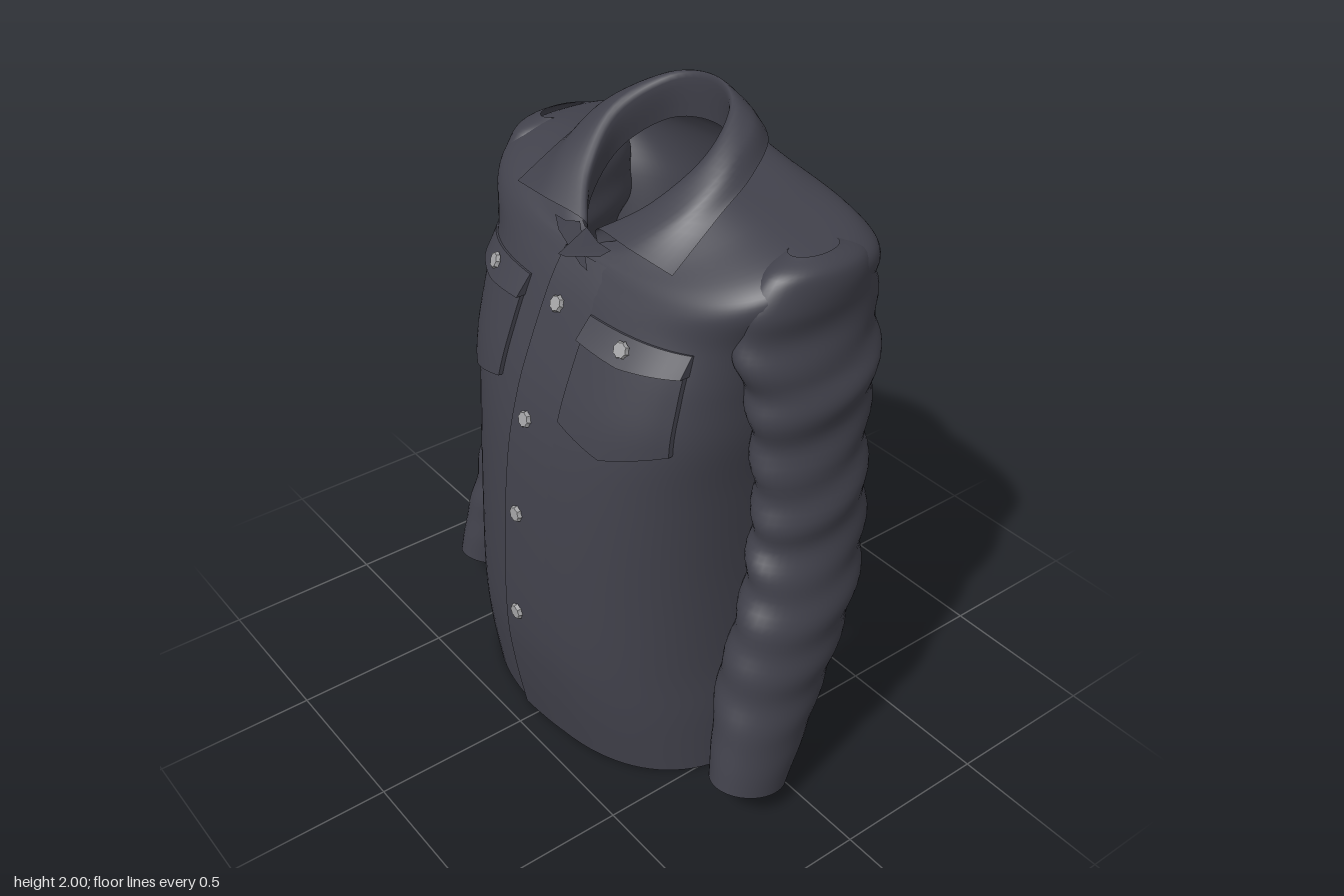
import * as THREE from 'three';
import { toCreasedNormals } from 'three/addons/utils/BufferGeometryUtils.js';

const cloth = new THREE.MeshStandardMaterial({ color: 0x41414b, side: THREE.DoubleSide });
cloth.name = 'charcoal cloth';
const metal = new THREE.MeshStandardMaterial({ color: 0xa3a3a5 });
metal.name = 'grey metal';

// Smooth interpolation through rows of numbers, t in 0..1
function sampleRows(rows, t) {
  const f = Math.min(Math.max(t, 0), 1) * (rows.length - 1);
  const i = Math.min(Math.floor(f), rows.length - 2), w = f - i;
  const r = (k) => rows[Math.min(Math.max(k, 0), rows.length - 1)];
  return rows[0].map((_, c) => {
    const a = r(i - 1)[c], b = r(i)[c], d = r(i + 1)[c], e = r(i + 2)[c];
    return b + 0.5 * w * (d - a + w * (2 * a - 5 * b + 4 * d - e + w * (3 * (b - d) + e - a)));
  });
}

// Surface from a rule fn(u, v) -> [x, y, z]; closed joins the ends of u
function grid(nu, nv, fn, closed = false) {
  const pos = [], idx = [], cols = closed ? nu : nu + 1;
  for (let j = 0; j <= nv; j++)
    for (let i = 0; i < cols; i++) pos.push(...fn(i / nu, j / nv));
  for (let j = 0; j < nv; j++)
    for (let i = 0; i < nu; i++) {
      const a = j * cols + i, b = j * cols + ((i + 1) % cols), c = a + cols, d = b + cols;
      idx.push(a, c, b, b, c, d);
    }
  const g = new THREE.BufferGeometry();
  g.setAttribute('position', new THREE.Float32BufferAttribute(pos, 3));
  g.setIndex(idx);
  g.computeVertexNormals();
  return g;
}

// Torso rings: yFront, ySide, yBack, halfWidth, zFront, zBack, zWidest, front and back squareness
const bodyRows = [
  [0, 0, 0, 0.53, 0.42, -0.40, 0, 2.4, 2.3],
  [0.2, 0.2, 0.2, 0.522, 0.455, -0.372, 0, 2.4, 2.3],
  [0.4, 0.4, 0.4, 0.505, 0.475, -0.355, 0, 2.4, 2.3],
  [0.7, 0.7, 0.7, 0.5, 0.468, -0.372, 0, 2.4, 2.3],
  [1.0, 1.0, 1.0, 0.515, 0.44, -0.43, -0.01, 2.5, 2.3],
  [1.2, 1.2, 1.2, 0.538, 0.395, -0.465, -0.04, 2.8, 2.4],
  [1.35, 1.35, 1.35, 0.55, 0.34, -0.477, -0.08, 3, 2.5],
  [1.5, 1.5, 1.5, 0.58, 0.275, -0.465, -0.11, 3, 2.8],
  [1.57, 1.66, 1.66, 0.645, 0.235, -0.435, -0.12, 2.9, 3.6],
  [1.6, 1.73, 1.74, 0.6, 0.215, -0.405, -0.12, 2.8, 3.2],
  [1.61, 1.77, 1.80, 0.42, 0.205, -0.365, -0.12, 2.7, 2.6],
  [1.62, 1.80, 1.855, 0.28, 0.195, -0.32, -0.1, 2.4, 2.2],
  [1.63, 1.82, 1.885, 0.21, 0.17, -0.265, -0.08, 2.2, 2.1],
];

function bodyPoint(u, t) {
  const [yF, yS, yB, hw, zf, zb, zc, nf, nb] = sampleRows(bodyRows, t);
  const a = u * Math.PI * 2, c = Math.cos(a), s = Math.sin(a), n = s > 0 ? nf : nb;
  const k = Math.abs(s) ** (2 / n);
  return [hw * Math.sign(c) * Math.abs(c) ** (2 / n),
    yS + ((s > 0 ? yF : yB) - yS) * k * k,
    zc + (s > 0 ? zf - zc : zb - zc) * k];
}

// Parameter t of the ring at a given height
function ringAt(y) {
  let lo = 0, hi = 1;
  for (let i = 0; i < 30; i++) {
    const m = (lo + hi) / 2;
    if (sampleRows(bodyRows, m)[0] < y) lo = m; else hi = m;
  }
  return lo;
}

// Depth of the torso front at x, y
function frontZ(x, y) {
  const [, , , hw, zf, , zc, n] = sampleRows(bodyRows, ringAt(y));
  return zc + (zf - zc) * Math.max(0, 1 - Math.abs(x / hw) ** n) ** (1 / n);
}

// Sleeve rings from cuff to shoulder: y, x, z, radiusX, radiusZ, tilt
const sleeveRows = [
  [0.095, 0.69, 0.137, 0.1, 0.128, 0.27],
  [0.25, 0.672, 0.085, 0.117, 0.153, 0.25],
  [0.4, 0.65, 0.03, 0.133, 0.172, 0.22],
  [0.55, 0.655, -0.015, 0.127, 0.183, 0.2],
  [0.72, 0.643, -0.075, 0.122, 0.195, 0.15],
  [0.85, 0.62, -0.108, 0.11, 0.2, 0.1],
  [1.0, 0.612, -0.117, 0.11, 0.19, 0],
  [1.2, 0.592, -0.12, 0.1, 0.198, 0],
  [1.34, 0.583, -0.125, 0.115, 0.215, 0],
  [1.42, 0.567, -0.125, 0.112, 0.235, 0],
  [1.52, 0.55, -0.12, 0.103, 0.24, 0],
  [1.62, 0.56, -0.12, 0.1, 0.22, 0],
  [1.71, 0.57, -0.12, 0.085, 0.165, 0],
  [1.745, 0.56, -0.12, 0.045, 0.08, 0],
];

function sleevePoint(side, u, t) {
  const [y, x, z, rx, rz, k] = sampleRows(sleeveRows, t);
  const a = u * Math.PI * 2, c = Math.cos(a), s = Math.sin(a);
  // soft creases, fading at the cuff and shoulder
  const fold = 1 + 0.05 * Math.sin(Math.PI * t) * Math.sin(y * 38 + 2.2 * s + 1.5 * c * side);
  const dz = rz * s * fold;
  return [side * x + rx * c * fold, y + k * dz, z + dz];
}

// Raised cloth panel on the chest, between two edge curves, with a turned-down rim
function panel(x0, x1, top, bottom, height) {
  const nu = 16, nv = 10;
  const g = grid(nu, nv, (u, v) => {
    const rim = u === 0 || u === 1 || v === 0 || v === 1;
    const p = Math.min(Math.max((u * nu - 1) / (nu - 2), 0), 1);
    const q = Math.min(Math.max((v * nv - 1) / (nv - 2), 0), 1);
    const x = x0 + (x1 - x0) * p, y = bottom(p) + (top(p) - bottom(p)) * q;
    return [x, y, frontZ(x, y) + (rim ? -0.004 : height(q))];
  });
  return toCreasedNormals(g, 0.7);
}

// Collar half-curves from back to front: stand foot, ridge, fall and outer edge
const collarCurves = [
  [[0, 1.86, -0.25], [0.14, 1.84, -0.2], [0.19, 1.77, -0.06], [0.13, 1.68, 0.09], [0.03, 1.61, 0.18]],
  [[0, 2.0, -0.235], [0.13, 1.972, -0.19], [0.197, 1.885, -0.05], [0.14, 1.765, 0.09], [0.03, 1.675, 0.185]],
  [[0, 1.965, -0.28], [0.19, 1.948, -0.225], [0.275, 1.885, -0.07], [0.27, 1.785, 0.08], [0.2, 1.69, 0.205]],
  [[0, 1.91, -0.32], [0.2, 1.89, -0.27], [0.31, 1.85, -0.12], [0.338, 1.785, 0.01], [0.36, 1.672, 0.185]],
].map((half) => [...half.slice(1).reverse().map(([x, y, z]) => [-x, y, z]), ...half]);

export function createModel() {
  const jacket = new THREE.Group();
  jacket.name = 'jacket';
  const add = (name, geometry, material = cloth) => {
    const m = new THREE.Mesh(geometry, material);
    m.name = name;
    jacket.add(m);
    return m;
  };

  add('torso', grid(96, 80, bodyPoint, true));
  add('collar', grid(48, 18, (u, v) => sampleRows(collarCurves.map((c) => sampleRows(c, u)), v)));

  // Front overlap: a raised edge that melts into the torso
  add('placket', toCreasedNormals(grid(8, 50, (u, v) => {
    const k = Math.max(0, u * 8 - 1) / 7, x = -0.065 + 0.24 * k, y = 1.6 * v;
    return [x, y, frontZ(x, y) + (u === 0 ? -0.004 : 0.011 - 0.014 * k)];
  }), 0.7));

  // Small notched lapels below the collar
  for (const side of [1, -1]) {
    const pts = [[0.02, 1.685], [0.08, 1.665], [0.135, 1.662], [0.1, 1.632], [0.05, 1.615], [-0.03, 1.585], [-0.065, 1.58]];
    const g = new THREE.ShapeGeometry(new THREE.Shape(pts.map(([x, y]) => new THREE.Vector2(side * x, y))));
    const p = g.attributes.position;
    for (let i = 0; i < p.count; i++)
      p.setZ(i, 0.25 + side * 0.003 - 0.38 * (p.getY(i) - 1.58) - 0.3 * p.getX(i) ** 2);
    g.computeVertexNormals();
    add(side > 0 ? 'leftLapel' : 'rightLapel', g);
  }

  // Flower-edged button facing along a normal
  const button = (name, point, normal) => {
    const g = new THREE.CylinderGeometry(0.021, 0.024, 0.012, 24);
    const p = g.attributes.position;
    for (let i = 0; i < p.count; i++) {
      const k = 1 + 0.1 * Math.cos(8 * Math.atan2(p.getZ(i), p.getX(i)));
      p.setX(i, p.getX(i) * k);
      p.setZ(i, p.getZ(i) * k);
    }
    const b = add(name, toCreasedNormals(g, 0.6), metal);
    b.position.set(...point).addScaledVector(normal, 0.004);
    b.quaternion.setFromUnitVectors(new THREE.Vector3(0, 1, 0), normal);
  };
  const frontButton = (name, x, y, lift) => {
    const e = 0.01, z = frontZ(x, y);
    button(name, [x, y, z + lift],
      new THREE.Vector3((z - frontZ(x + e, y)) / e, (z - frontZ(x, y + e)) / e, 1).normalize());
  };
  for (const y of [0.45, 0.815, 1.13, 1.465]) frontButton('frontButton', -0.005, y, 0.009);

  // Chest pockets with pointed pouches and buttoned flaps
  for (const [name, x0, x1] of [['right', -0.49, -0.165], ['left', 0.135, 0.462]]) {
    const point = (p) => 1 - Math.abs(2 * p - 1);
    add(name + 'Pocket', panel(x0, x1, () => 1.44, (p) => 1.19 - 0.05 * point(p), () => 0.014));
    add(name + 'PocketFlap', panel(x0 - 0.004, x1 + 0.004, () => 1.485,
      (p) => 1.425 - 0.014 * point(p), (q) => 0.03 - 0.024 * q));
    frontButton(name + 'PocketButton', (x0 + x1) / 2 - 0.01, 1.455, 0.02);
  }

  for (const side of [1, -1]) {
    const name = side > 0 ? 'left' : 'right';
    add(name + 'Sleeve', grid(40, 90, (u, t) => sleevePoint(side, u, t), true));

    // Cuff button on the inner back
    const a = side > 0 ? 0.65 : 0.85;
    const ca = Math.cos(a * 2 * Math.PI), sa = Math.sin(a * 2 * Math.PI);
    button(name + 'CuffButton', sleevePoint(side, a, 0.03), new THREE.Vector3(ca, 0, sa).normalize());

    // Hem adjuster buttons on the side of the waist
    for (const z of [0.0, -0.145]) {
      const x = 0.526 * (1 - Math.abs(z / 0.385) ** 2.3) ** (1 / 2.3);
      button(name + 'HemButton', [side * x, 0.115, z], new THREE.Vector3(side, 0, z * 2.5).normalize());
    }
  }
  return jacket;
}
